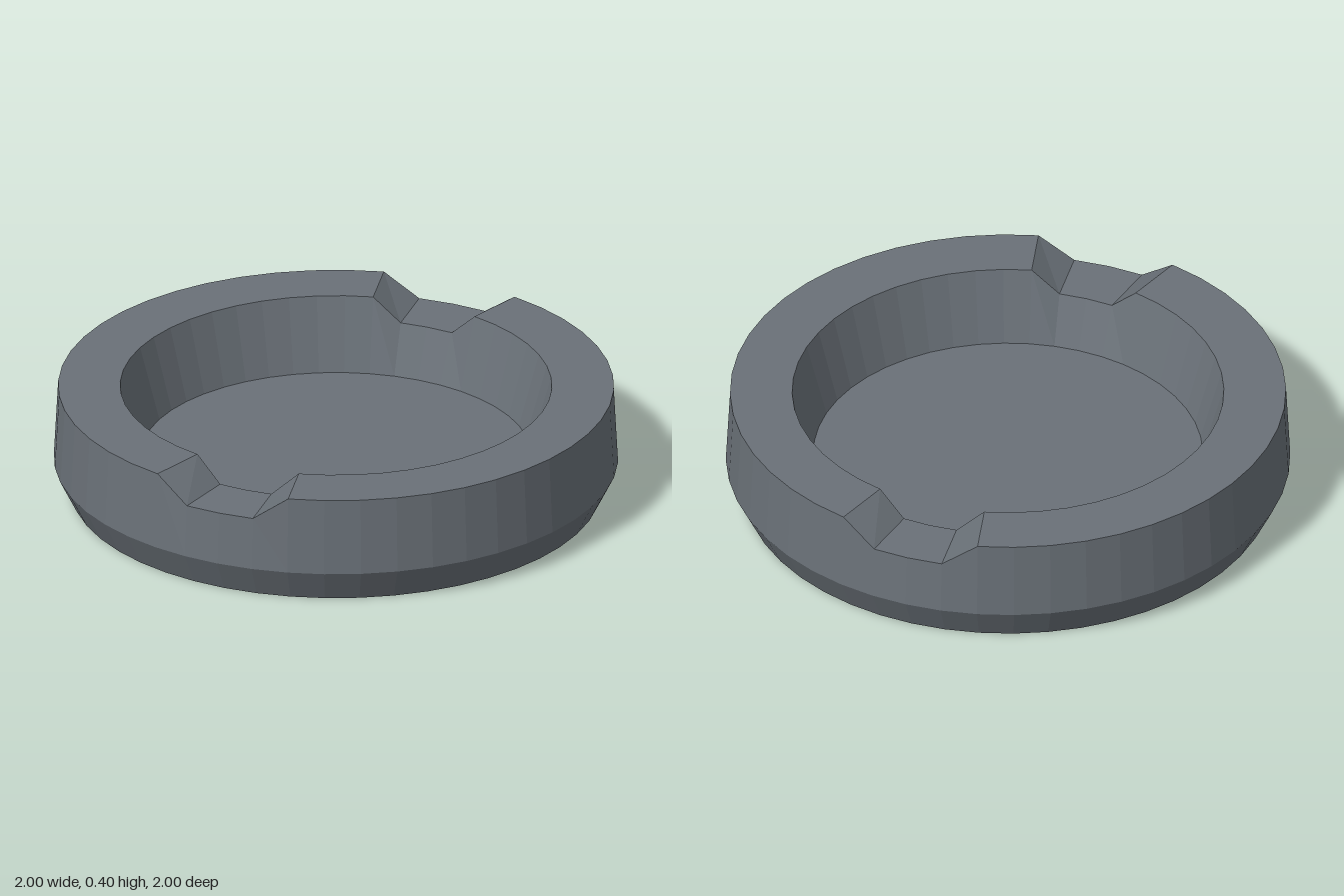
import * as THREE from 'three';

const SEGMENTS = 48; // 7.5 degrees per facet
const RIM_Y = 0.4;
const NOTCH_Y = 0.31;

// Closed cross-section: underside, bevel, outer wall, rim, sloping bowl wall, bowl floor
const PROFILE = [
  [0, 0], [0.94, 0], [1, 0.12], [0.985, RIM_Y],
  [0.765, RIM_Y], [0.69, 0.135], [0, 0.135],
].map(([r, y]) => new THREE.Vector2(r, y));

export function createModel() {
  const group = new THREE.Group();
  group.name = 'ashtray';

  const geometry = new THREE.LatheGeometry(PROFILE, SEGMENTS);

  // Rests: lower the rim within one facet of the front and back centre lines,
  // so the neighbouring facets become the sloping sides of each notch
  const pos = geometry.attributes.position;
  const limit = Math.tan(THREE.MathUtils.degToRad(10));
  for (let i = 0; i < pos.count; i++) {
    const onRim = Math.abs(pos.getY(i) - RIM_Y) < 1e-4;
    if (onRim && Math.abs(pos.getX(i)) < limit * Math.abs(pos.getZ(i))) pos.setY(i, NOTCH_Y);
  }
  geometry.computeVertexNormals();

  const dish = new THREE.Mesh(
    geometry,
    new THREE.MeshStandardMaterial({ color: 0x6a7178, flatShading: true }),
  );
  dish.name = 'notchedDish';
  group.add(dish);
  return group;
}
